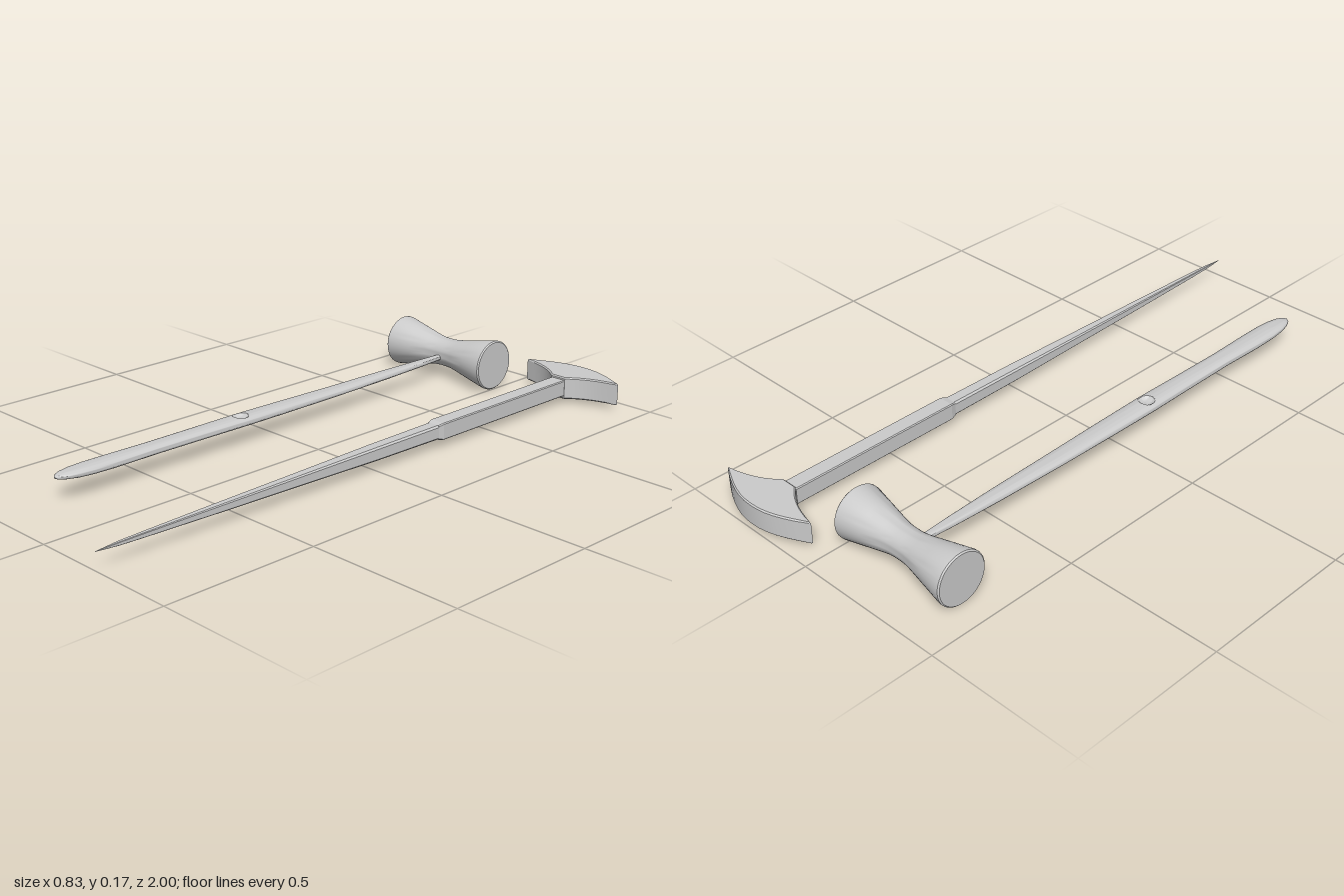
import * as THREE from 'three';
import { toCreasedNormals } from 'three/addons/utils/BufferGeometryUtils.js';

const material = new THREE.MeshStandardMaterial({ color: 0xcccccc });

function addMesh(group, name, geometry, x = 0, y = 0, z = 0) {
  const mesh = new THREE.Mesh(geometry, material);
  mesh.name = name;
  mesh.position.set(x, y, z);
  group.add(mesh);
  return mesh;
}

// Skin closed rings of points (counter-clockwise seen from +z) and cap both ends.
function loft(rings, crease) {
  const n = rings[0].length, last = rings.length - 1;
  const pos = rings.flat(2), idx = [];
  for (let i = 0; i < last; i++) {
    for (let j = 0; j < n; j++) {
      const k = (j + 1) % n, a = i * n + j, b = i * n + k;
      idx.push(a, b, b + n, a, b + n, a + n);
    }
  }
  for (let j = 1; j < n - 1; j++) {
    idx.push(0, j + 1, j, last * n, last * n + j, last * n + j + 1);
  }
  const g = new THREE.BufferGeometry();
  g.setAttribute('position', new THREE.Float32BufferAttribute(pos, 3));
  g.setIndex(idx);
  return toCreasedNormals(g, crease);
}

// Square section with cut corners; s is half the width, c the corner cut.
function chamferedSquare(s, c, z, y = 0) {
  const k = s - c;
  return [[s, -k], [s, k], [k, s], [-k, s], [-s, k], [-s, -k], [-k, -s], [k, -s]]
    .map(([px, py]) => [px, py + y, z]);
}

function lerpProfile(profile, z) {
  let i = 1;
  while (i < profile.length - 1 && profile[i][0] < z) i++;
  const [a, b] = [profile[i - 1], profile[i]];
  const t = (z - a[0]) / (b[0] - a[0]);
  return a.map((v, k) => v + (b[k] - v) * t);
}

// Flattened mallet handle with a round thumb dimple on its top face.
function malletHandle() {
  // z, half width, half height, centre y
  const profile = [
    [-0.82, 0.009, 0.008, 0.075], [-0.76, 0.011, 0.009, 0.075], [-0.66, 0.018, 0.010, 0.074],
    [-0.5, 0.025, 0.012, 0.073], [-0.27, 0.031, 0.013, 0.072], [-0.05, 0.035, 0.015, 0.073],
    [0.13, 0.037, 0.016, 0.074], [0.3, 0.034, 0.016, 0.074], [0.48, 0.032, 0.016, 0.074],
    [0.62, 0.036, 0.016, 0.074], [0.7, 0.036, 0.015, 0.075], [0.75, 0.032, 0.013, 0.076],
    [0.785, 0.024, 0.010, 0.077], [0.805, 0.014, 0.007, 0.077], [0.815, 0.002, 0.002, 0.077],
  ];
  const dimpleZ = 0.13, dimpleR = 0.023;
  const stations = profile.map(p => p[0]);
  for (let k = -8; k <= 8; k++) if (k) stations.push(dimpleZ + k * 0.0032);
  stations.sort((a, b) => a - b);
  const power = (v, e) => Math.sign(v) * Math.abs(v) ** e;
  const rings = stations.map(z => {
    const [, w, h, cy] = lerpProfile(profile, z);
    return Array.from({ length: 48 }, (_, j) => {
      const a = j / 48 * Math.PI * 2;
      const x = w * power(Math.cos(a), 0.9);
      let y = cy + h * power(Math.sin(a), 0.8);
      const d = Math.hypot(x, z - dimpleZ) / dimpleR;
      if (Math.sin(a) > 0 && d < 1) y -= 0.012 * Math.sqrt(1 - d * d);
      return [x, y, z];
    });
  });
  return loft(rings, 0.7);
}

// Waisted mallet head turned about the x axis.
function malletHead() {
  const half = [[0.207, 0], [0.207, 0.079], [0.203, 0.083], [0.195, 0.083], [0.12, 0.067],
    [0.06, 0.054], [0.035, 0.0495], [0.015, 0.048]];
  const points = [
    ...half.map(([x, r]) => new THREE.Vector2(r, -x)),
    ...half.slice().reverse().map(([x, r]) => new THREE.Vector2(r, x)),
  ];
  const g = new THREE.LatheGeometry(points, 40);
  g.rotateZ(-Math.PI / 2);
  return toCreasedNormals(g, 0.6);
}

// Crescent blade: convex cutting edge, concave shoulders running into the shaft.
function crescentHead() {
  const bevel = 0.004;
  const s = new THREE.Shape();
  s.moveTo(-0.026, 0.868);
  s.lineTo(0.026, 0.868);
  s.quadraticCurveTo(0.08, 0.922, 0.18, 0.938);
  s.bezierCurveTo(0.1, 0.98, 0.06, 0.996, 0, 0.996);
  s.bezierCurveTo(-0.06, 0.996, -0.1, 0.98, -0.18, 0.938);
  s.quadraticCurveTo(-0.08, 0.922, -0.026, 0.868);
  const g = new THREE.ExtrudeGeometry(s, {
    depth: 0.073 - 2 * bevel, curveSegments: 6,
    bevelThickness: bevel, bevelSize: bevel, bevelSegments: 1,
  });
  g.rotateX(-Math.PI / 2);
  g.translate(0, 0.017 + bevel, 0);
  return toCreasedNormals(g, 0.2);
}

export function createModel() {
  const model = new THREE.Group();
  model.name = 'mallet and spike';

  const mallet = new THREE.Group();
  mallet.name = 'mallet';
  mallet.position.x = -0.207;
  addMesh(mallet, 'malletHead', malletHead(), 0, 0.084, -0.813);
  addMesh(mallet, 'malletHandle', malletHandle());

  const spike = new THREE.Group();
  spike.name = 'crescentSpike';
  spike.position.x = 0.229;
  addMesh(spike, 'crescentHead', crescentHead());
  // Thick square grip
  addMesh(spike, 'grip', loft([
    chamferedSquare(0.027, 0.003, -0.9, 0.054),
    chamferedSquare(0.027, 0.003, -0.28, 0.054),
    chamferedSquare(0.023, 0.003, -0.262, 0.054),
  ], 0.1));
  // Long tapering spike
  const taper = [[-0.3, 0.023], [0, 0.021], [0.3, 0.016], [0.6, 0.0115], [0.85, 0.007], [0.93, 0.005], [1, 0.0006]];
  addMesh(spike, 'spikeShaft', loft(
    taper.map(([z, r]) => chamferedSquare(r, r * 0.25, z, 0.054 + 0.002 * Math.max(0, z))), 0.3));

  model.add(mallet, spike);
  return model;
}
